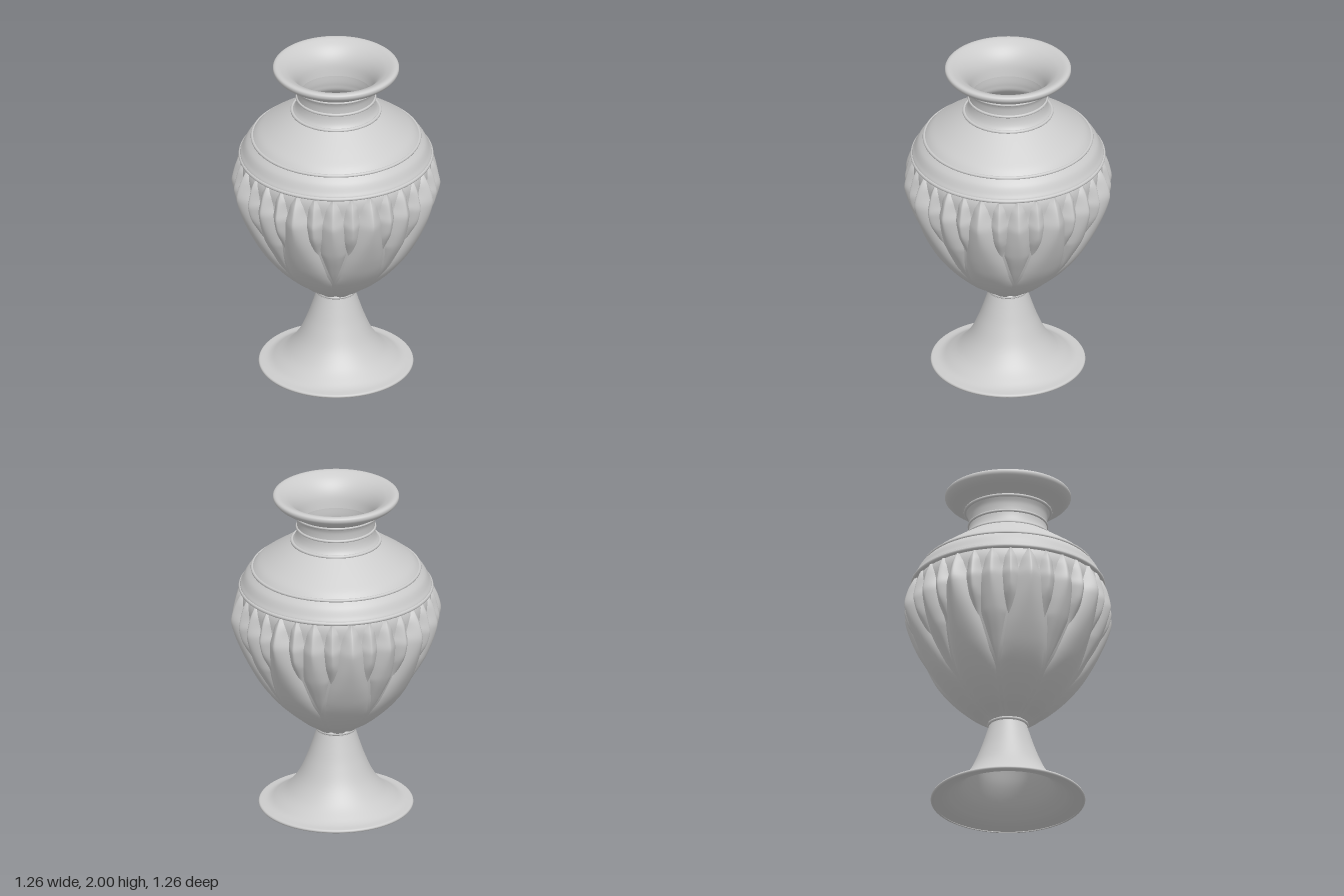
import * as THREE from 'three';

const material = new THREE.MeshStandardMaterial({ color: 0xcccccc, side: THREE.DoubleSide });
const DEG = Math.PI / 180;
const smooth = THREE.MathUtils.smoothstep;

// Smooth curve through [radius, height] pairs
const curve = (pairs, n = 40) =>
  new THREE.SplineCurve(pairs.map(([r, y]) => new THREE.Vector2(r, y))).getPoints(n);

// Piecewise-linear lookup of a value by height, points in rising order
function lookup(points, y) {
  let i = 1;
  while (i < points.length - 1 && points[i].y < y) i++;
  const a = points[i - 1], b = points[i];
  const t = THREE.MathUtils.clamp((y - a.y) / (b.y - a.y), 0, 1);
  return a.x + (b.x - a.x) * t;
}

// Bowl silhouette along the crests of the large leaves
const crest = curve([[0.11, 0.49], [0.165, 0.53], [0.225, 0.57], [0.295, 0.63], [0.365, 0.7],
  [0.445, 0.8], [0.505, 0.9], [0.555, 1.0], [0.597, 1.1], [0.625, 1.19], [0.628, 1.24],
  [0.605, 1.32], [0.565, 1.4]], 80);
const relief = y => (0.012 + 0.05 * smooth(y, 0.6, 1.24)) * (1 - 0.75 * smooth(y, 1.25, 1.4));
const bowlRadius = y => lookup(crest, y) - relief(y);

// One leaf: rows of raised cross-sections following the bowl
function leafGeometry({ widths, height, grow }) {
  const half = widths.map(([w, y]) => new THREE.Vector2(w, y));
  const y0 = half[0].y, y1 = half[half.length - 1].y;
  const rows = 44, cols = 20, pos = [], index = [];
  for (let j = 0; j <= rows; j++) {
    const y = y0 + (y1 - y0) * j / rows;
    const w = lookup(half, y) * DEG;
    const rise = relief(y) * height * (grow ? smooth(y, y0, y0 + grow) : 1);
    const power = 3.5 - 2.2 * smooth(y, 0.75, 1.25);
    for (let i = 0; i <= cols; i++) {
      const u = i / cols * 2 - 1;
      const r = bowlRadius(y) + (rise + 0.006) * (1 - Math.abs(u) ** power) - 0.006;
      pos.push(r * Math.sin(u * w), y, r * Math.cos(u * w));
      if (j < rows && i < cols) {
        const a = j * (cols + 1) + i, b = a + cols + 1;
        index.push(a, a + 1, b + 1, a, b + 1, b);
      }
    }
  }
  const g = new THREE.BufferGeometry();
  g.setAttribute('position', new THREE.Float32BufferAttribute(pos, 3));
  g.setIndex(index);
  g.computeVertexNormals();
  return g;
}

export function createModel() {
  const vase = new THREE.Group();
  vase.name = 'vase';
  const add = (name, geometry, parent = vase) => {
    const mesh = new THREE.Mesh(geometry, material);
    mesh.name = name;
    parent.add(mesh);
    return mesh;
  };
  const turned = (name, points) => add(name, new THREE.LatheGeometry(points, 96));

  // Hollow trumpet foot with a thin rim
  turned('footOutside', curve([[0.44, 0.022], [0.40, 0.028], [0.36, 0.05], [0.29, 0.105],
    [0.225, 0.19], [0.175, 0.3], [0.14, 0.4], [0.112, 0.49]]));
  turned('footInside', curve([[0.001, 0.45], [0.09, 0.42], [0.15, 0.3], [0.2, 0.19],
    [0.27, 0.095], [0.34, 0.04], [0.39, 0.016], [0.44, 0.004]]));
  turned('footRim', curve([[0.44, 0.0], [0.453, 0.002], [0.458, 0.011], [0.453, 0.02], [0.44, 0.022]], 12));

  // Bowl behind the leaves
  const bowl = [];
  for (let i = 0; i <= 60; i++) {
    const y = 0.49 + 0.91 * i / 60;
    bowl.push(new THREE.Vector2(bowlRadius(y), y));
  }
  turned('bowl', bowl);

  // Shoulder band, sloping shoulder and neck
  turned('shoulderBand', curve([[0.55, 1.395], [0.568, 1.412], [0.555, 1.44], [0.532, 1.485], [0.498, 1.52]], 20));
  turned('shoulder', curve([[0.498, 1.525], [0.465, 1.56], [0.41, 1.6], [0.34, 1.648], [0.262, 1.7]], 24));
  turned('lowerNeck', curve([[0.262, 1.7], [0.244, 1.725], [0.234, 1.755], [0.23, 1.79]], 16));
  turned('upperNeck', curve([[0.23, 1.79], [0.231, 1.82], [0.236, 1.85], [0.25, 1.88]], 16));
  turned('lip', curve([[0.25, 1.88], [0.265, 1.895], [0.305, 1.918], [0.345, 1.942], [0.368, 1.965],
    [0.374, 1.982], [0.369, 1.995], [0.352, 2.0], [0.325, 1.992], [0.285, 1.968],
    [0.25, 1.93], [0.227, 1.88], [0.215, 1.81]], 60));

  // Inside wall down to the rounded bottom
  turned('inside', curve([[0.215, 1.81], [0.217, 1.75], [0.24, 1.69], [0.36, 1.6], [0.47, 1.5],
    [0.525, 1.4], [0.54, 1.22], [0.48, 1.0], [0.36, 0.77], [0.2, 0.6], [0.001, 0.55]], 70));

  // Raised beads: [name, radius, height, thickness]
  [['footBead', 0.112, 0.493, 0.011], ['lowerFootBead', 0.108, 0.478, 0.008],
    ['bowlBead', 0.565, 1.405, 0.012], ['shoulderBead', 0.495, 1.524, 0.01],
    ['neckBaseBead', 0.26, 1.702, 0.01], ['neckBead', 0.23, 1.79, 0.009],
    ['neckTopBead', 0.252, 1.882, 0.01],
  ].forEach(([name, radius, y, tube]) => {
    const bead = add(name, new THREE.TorusGeometry(radius, tube, 10, 96));
    bead.rotation.x = Math.PI / 2;
    bead.position.y = y;
  });

  // Three overlapping layers of leaves; widths are [half angle, height]
  const layers = [
    { name: 'largeLeaf', count: 8, start: 0, height: 1, grow: 0,
      widths: [[22.5, 0.49], [22.5, 0.72], [18.5, 0.8], [13, 1.0], [7.5, 1.24], [4.5, 1.34], [0.8, 1.4]] },
    { name: 'middleLeaf', count: 8, start: 22.5, height: 0.8, grow: 0.3,
      widths: [[1, 0.72], [5, 0.85], [9, 1.0], [8.5, 1.1], [6.8, 1.24], [4.5, 1.34], [0.8, 1.4]] },
    { name: 'smallLeaf', count: 16, start: 11.25, height: 0.72, grow: 0.2,
      widths: [[1, 0.95], [5, 1.1], [5.6, 1.24], [4, 1.34], [0.8, 1.4]] },
  ];
  for (const layer of layers) {
    const ring = new THREE.Group();
    ring.name = layer.name + 'Ring';
    vase.add(ring);
    const geometry = leafGeometry(layer);
    for (let i = 0; i < layer.count; i++) {
      add(layer.name, geometry, ring).rotation.y = layer.start * DEG + i * 2 * Math.PI / layer.count;
    }
  }
  return vase;
}
